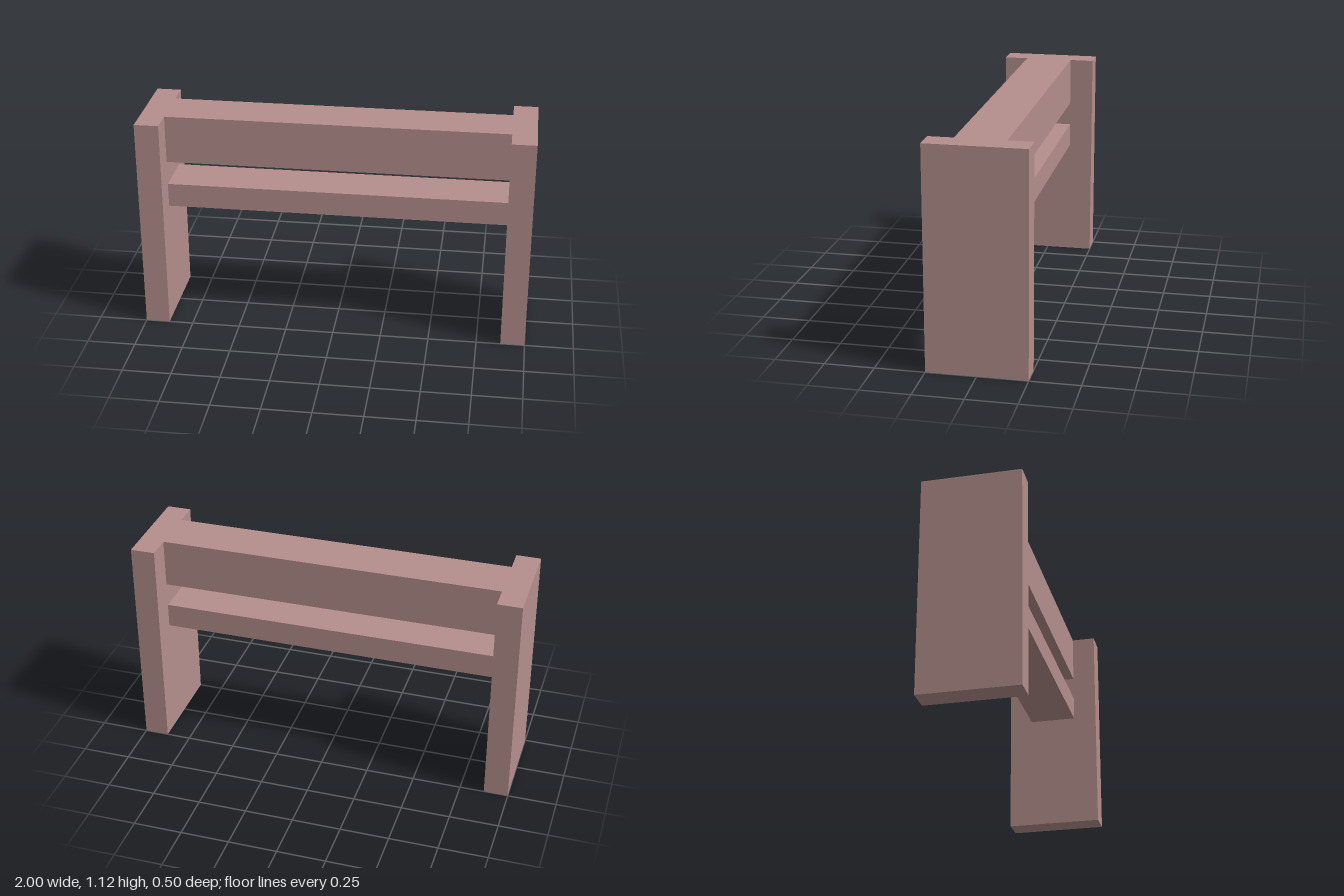
import * as THREE from 'three';

export function createModel() {
  const group = new THREE.Group();
  const wood = new THREE.MeshStandardMaterial({ color: 0xb48f8d });
  wood.name = 'dusty rose';

  // Box given its size, horizontal position and underside height
  function addBox(name, width, height, depth, x, bottom) {
    const mesh = new THREE.Mesh(new THREE.BoxGeometry(width, height, depth), wood);
    mesh.name = name;
    mesh.position.set(x, bottom + height / 2, 0);
    group.add(mesh);
  }

  // Slab legs at both ends
  for (const [name, side] of [['leftLeg', 1], ['rightLeg', -1]]) {
    addBox(name, 0.125, 1.125, 0.5, side * 0.9375, 0);
  }

  // Beams spanning between the legs
  addBox('topBeam', 1.75, 0.25, 0.25, 0, 0.875);
  addBox('lowerRail', 1.75, 0.125, 0.25, 0, 0.625);

  return group;
}
